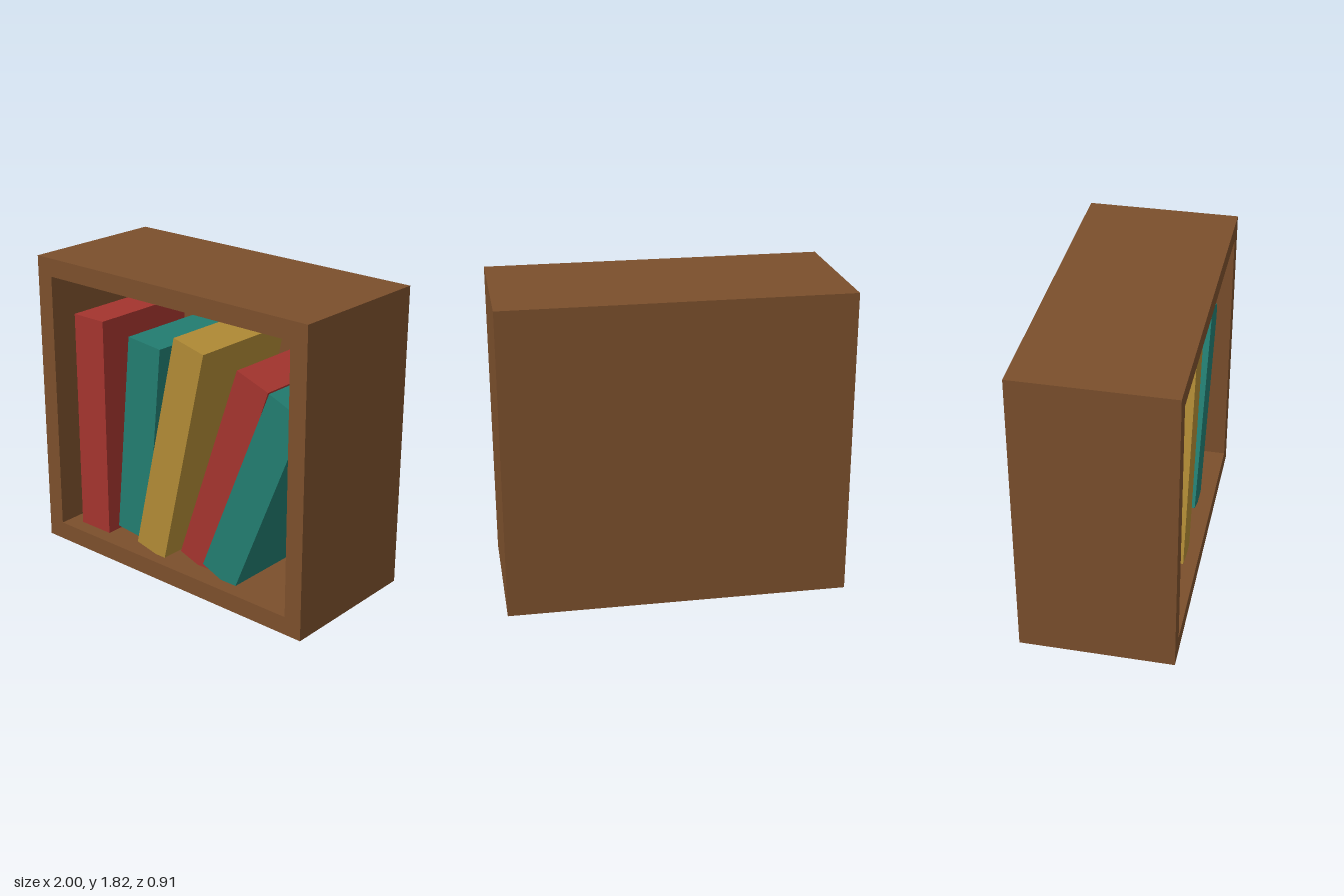
import * as THREE from 'three';

const W = 2, H = 1.82, D = 0.91, WALL = 0.11;

function material(name, color) {
  const m = new THREE.MeshStandardMaterial({ color });
  m.name = name;
  return m;
}

// Rectangle outline, used for the frame and its opening
function rectangle(Type, x0, y0, x1, y1) {
  const p = new Type();
  p.moveTo(x0, y0).lineTo(x1, y0).lineTo(x1, y1).lineTo(x0, y1).closePath();
  return p;
}

export function createModel() {
  const model = new THREE.Group();
  model.name = 'bookcase';
  const wood = material('wood brown', 0x7b4f2c);
  const red = material('book red', 0xa3342e);
  const teal = material('book teal', 0x227c70);
  const yellow = material('book ochre', 0xb08a35);

  const add = (name, geometry, mat, x, y, z) => {
    const mesh = new THREE.Mesh(geometry, mat);
    mesh.name = name;
    mesh.position.set(x, y, z);
    model.add(mesh);
    return mesh;
  };

  // Case: four walls as one frame, closed by a back panel
  const outline = rectangle(THREE.Shape, -W / 2, 0, W / 2, H);
  outline.holes.push(rectangle(THREE.Path, -W / 2 + WALL, WALL, W / 2 - WALL, H - WALL));
  const frame = new THREE.ExtrudeGeometry(outline, { depth: D - WALL, bevelEnabled: false });
  add('caseFrame', frame, wood, 0, 0, -D / 2 + WALL);
  add('backPanel', new THREE.BoxGeometry(W, H, WALL), wood, 0, H / 2, -D / 2 + WALL / 2);

  // Books: top left corner, bottom left corner, thickness, front z.
  // Leaning books sink a little into the shelf.
  const books = [
    ['uprightRedBook', red, [-0.8, 1.48], [-0.8, 0.1], 0.235, 0.365],
    ['leaningTealBook', teal, [-0.44, 1.395], [-0.565, 0.13], 0.25, 0.28],
    ['leaningOchreBook', yellow, [0.012, 1.513], [-0.305, 0.145], 0.225, 0.38],
    ['leaningRedBook', red, [0.418, 1.4], [-0.01, 0.155], 0.232, 0.315],
    ['leaningEndTealBook', teal, [0.685, 1.345], [0.21, 0.165], 0.252, 0.365],
  ];
  const backZ = -D / 2 + WALL + 0.005;
  for (const [name, mat, top, bottom, thickness, frontZ] of books) {
    const dx = top[0] - bottom[0], dy = top[1] - bottom[1];
    const height = Math.hypot(dx, dy), lean = Math.atan2(dx, dy);
    const cx = (top[0] + bottom[0]) / 2 + Math.cos(lean) * thickness / 2;
    const cy = (top[1] + bottom[1]) / 2 - Math.sin(lean) * thickness / 2;
    const box = new THREE.BoxGeometry(thickness, height, frontZ - backZ);
    add(name, box, mat, cx, cy, (frontZ + backZ) / 2).rotation.z = -lean;
  }
  return model;
}
